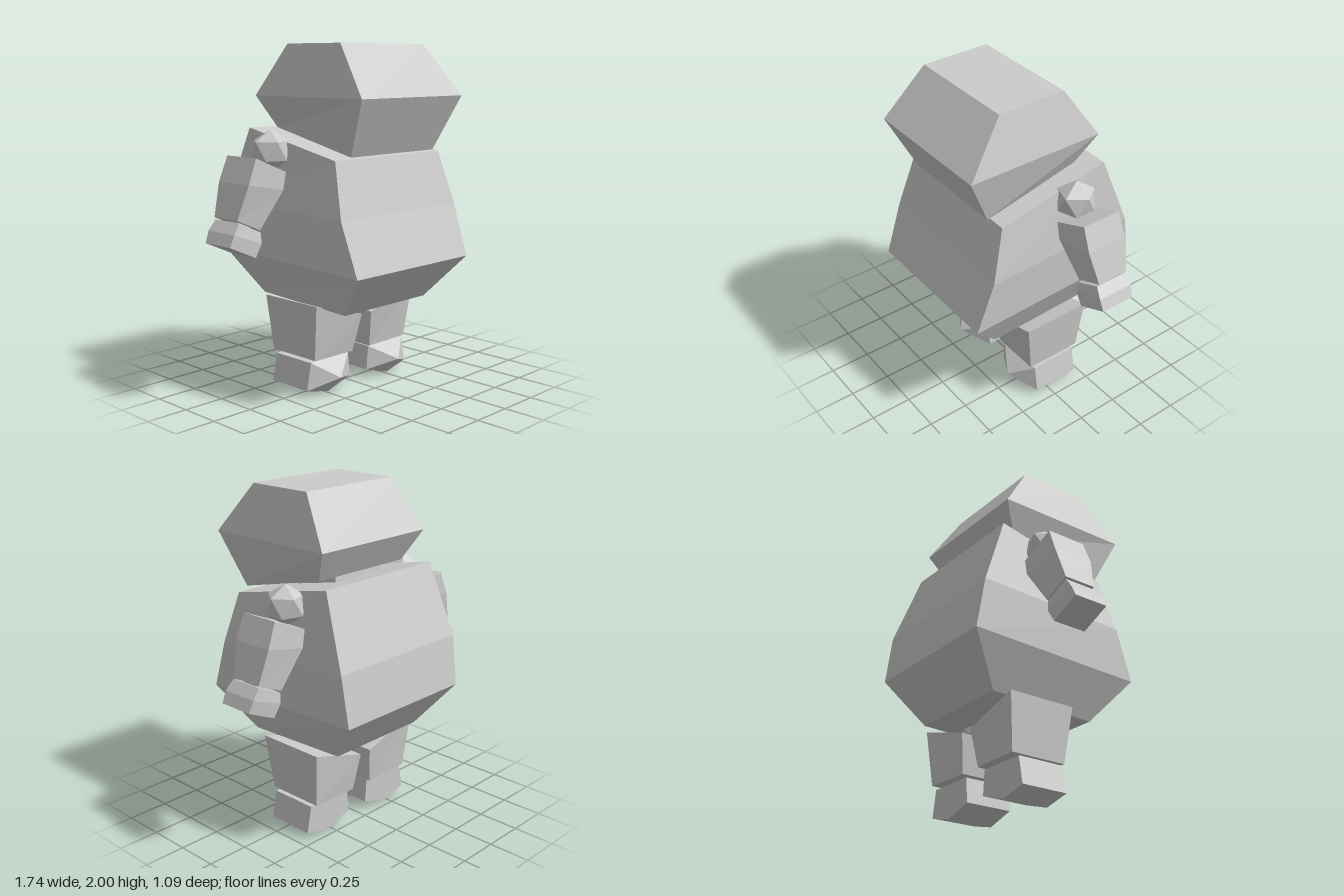
import * as THREE from 'three';
import { ConvexGeometry } from 'three/addons/geometries/ConvexGeometry.js';

const material = new THREE.MeshStandardMaterial({ color: 0xcccccc, flatShading: true });

function mesh(name, geometry) {
  const m = new THREE.Mesh(geometry, material);
  m.name = name;
  return m;
}

// Four corners, level from side to side, with separate back and front heights
const slab = (hw, zBack, yBack, zFront, yFront) => [
  [hw, yFront, zFront], [hw, yBack, zBack], [-hw, yBack, zBack], [-hw, yFront, zFront],
];

// Four corners, level from front to back, with separate inner and outer heights
const limb = (xIn, yIn, xOut, yOut, zBack, zFront) => [
  [xOut, yOut, zFront], [xOut, yOut, zBack], [xIn, yIn, zBack], [xIn, yIn, zFront],
];

// Capped skin over four-cornered sections, listed from bottom to top
function loft(sections, side = 1) {
  const rings = sections.map((s) => {
    const ring = s.map(([x, y, z]) => [x * side, y, z]);
    return side < 0 ? ring.reverse() : ring;
  });
  const out = [];
  const quad = (a, b, c, d) => out.push(...a, ...b, ...c, ...a, ...c, ...d);
  for (let k = 0; k < rings.length - 1; k++) {
    const lo = rings[k], hi = rings[k + 1];
    for (let i = 0; i < 4; i++) {
      const j = (i + 1) % 4;
      quad(lo[i], lo[j], hi[j], hi[i]);
    }
  }
  quad(...rings[0].slice().reverse());
  quad(...rings[rings.length - 1]);
  const g = new THREE.BufferGeometry();
  g.setAttribute('position', new THREE.Float32BufferAttribute(out, 3));
  g.computeVertexNormals();
  return g;
}

// Twenty-sided ball with one corner straight up
function ballJoint(radius, side) {
  const g = new THREE.IcosahedronGeometry(radius, 0);
  g.rotateZ(-Math.atan(2 / (1 + Math.sqrt(5))));
  if (side < 0) g.rotateY(Math.PI);
  return g;
}

function createArm(side) {
  const arm = new THREE.Group();
  arm.name = side > 0 ? 'leftArm' : 'rightArm';
  const shoulder = mesh('shoulder', ballJoint(0.118, side));
  shoulder.position.set(0.49 * side, 1.412, -0.1);
  arm.add(shoulder);
  arm.add(mesh('upperArm', loft([
    limb(0.64, 0.99, 0.80, 1.06, -0.215, -0.02),
    limb(0.50, 1.20, 0.745, 1.25, -0.238, 0.015),
    limb(0.475, 1.30, 0.69, 1.39, -0.23, 0.012),
  ], side)));
  arm.add(mesh('wrist', loft([
    limb(0.68, 0.96, 0.78, 1.0, -0.16, -0.06),
    limb(0.66, 1.03, 0.76, 1.07, -0.16, -0.06),
  ], side)));
  arm.add(mesh('hand', loft([
    limb(0.69, 0.845, 0.868, 0.925, -0.21, 0),
    limb(0.65, 0.92, 0.84, 0.99, -0.218, 0.003),
    limb(0.645, 0.98, 0.795, 1.048, -0.212, -0.01),
  ], side)));
  return arm;
}

function createLeg(side) {
  const leg = new THREE.Group();
  leg.name = side > 0 ? 'leftLeg' : 'rightLeg';
  leg.position.x = 0.02;
  const hip = mesh('hip', ballJoint(0.1, side));
  hip.position.set(0.19 * side, 0.54, -0.06);
  leg.add(hip);
  leg.add(mesh('shin', loft([
    limb(0.073, 0.21, 0.38, 0.215, -0.235, 0.115),
    limb(0.04, 0.435, 0.41, 0.545, -0.265, 0.16),
  ], side)));
  const ankle = mesh('ankle', new THREE.BoxGeometry(0.16, 0.08, 0.14));
  ankle.position.set(0.23 * side, 0.21, -0.06);
  leg.add(ankle);

  // Foot: keeled sole, flat heel and a pointed toe
  const outline = [[0.087, 0.2], [0.39, 0.2], [0.40, 0.13], [0.42, 0.04],
    [0.255, 0], [0.075, 0.055], [0.08, 0.12]];
  const points = [new THREE.Vector3(0.25 * side, 0.105, 0.195)];
  for (const z of [-0.2, 0.092]) {
    for (const [x, y] of outline) points.push(new THREE.Vector3(x * side, y, z));
  }
  leg.add(mesh('foot', new ConvexGeometry(points)));
  return leg;
}

export function createModel() {
  const model = new THREE.Group();
  model.name = 'stockyFigure';

  model.add(mesh('torso', loft([
    slab(0.335, -0.34, 0.54, 0.33, 0.515),
    slab(0.465, -0.545, 0.805, 0.548, 0.77),
    slab(0.477, -0.50, 1.10, 0.44, 1.07),
    slab(0.43, -0.345, 1.525, 0.35, 1.38),
  ])));
  model.add(mesh('neck', loft([
    slab(0.19, -0.19, 1.44, 0.11, 1.38),
    slab(0.19, -0.18, 1.55, 0.11, 1.5),
  ])));
  model.add(mesh('head', loft([
    slab(0.34, -0.205, 1.53, 0.38, 1.395),
    slab(0.415, -0.305, 1.71, 0.53, 1.71),
    slab(0.34, -0.115, 2.0, 0.30, 2.0),
  ])));

  for (const side of [1, -1]) model.add(createArm(side), createLeg(side));
  return model;
}
